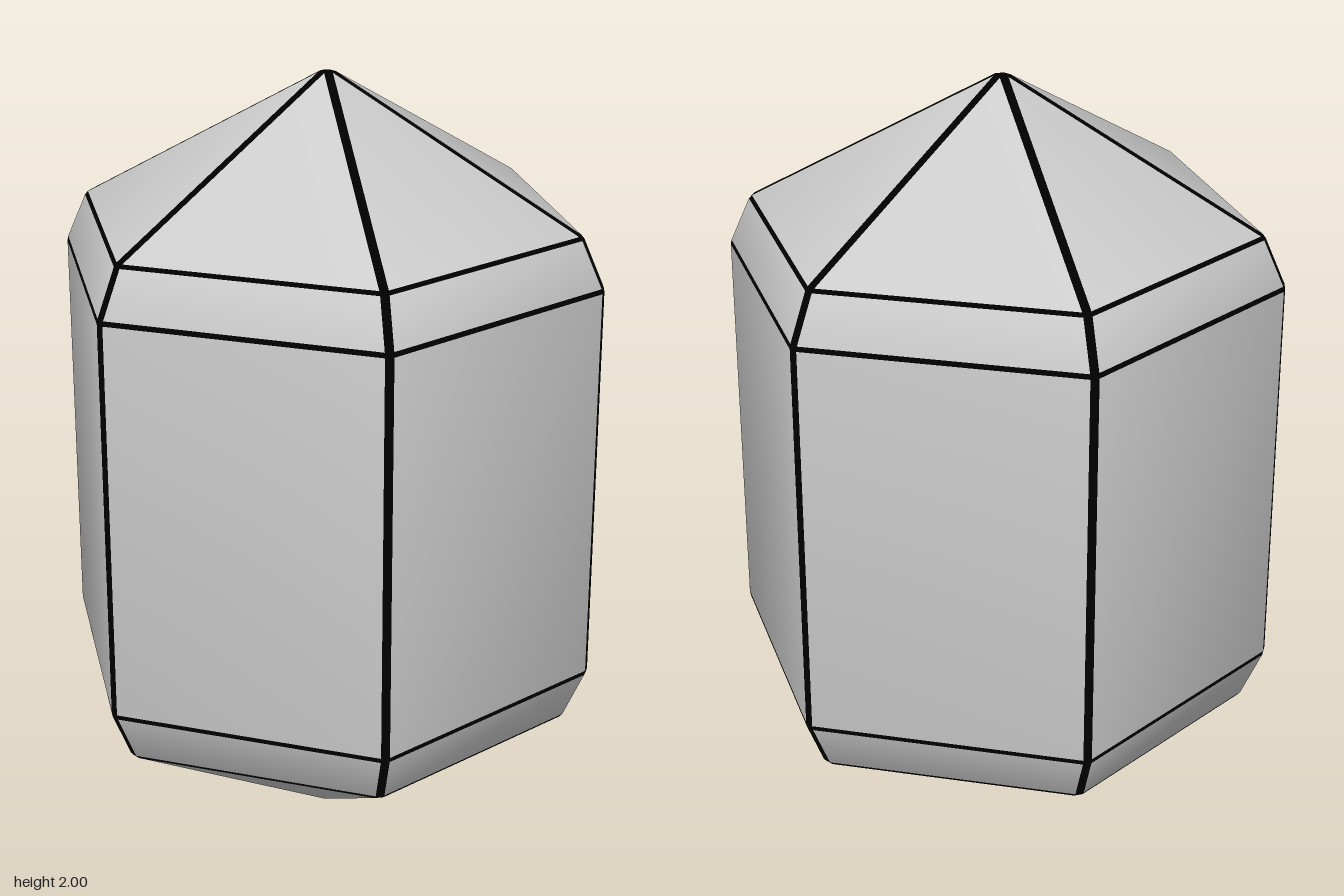
import * as THREE from 'three';

const SIDES = 6;
const EDGE = 0.0125;   // half cut of each upright corner, measured along the hexagon side
const BEVEL = 0.0065;  // half width of the level seams

// Sharp profile of the crystal (corner radius, height), bottom to top
const PROFILE = [[0.025, 0], [0.65, 0.36], [0.707, 0.493], [0.707, 1.518], [0.65, 1.645], [0.025, 2]]
  .map(([r, y]) => new THREE.Vector2(r, y));

// Split every inner profile point in two, so a narrow seam lies between the bands
function splitProfile() {
  const rows = [PROFILE[0]];
  for (let i = 1; i < PROFILE.length - 1; i++) {
    for (const j of [i - 1, i + 1]) {
      const dir = PROFILE[j].clone().sub(PROFILE[i]).normalize();
      rows.push(PROFILE[i].clone().addScaledVector(dir, BEVEL));
    }
  }
  rows.push(PROFILE[PROFILE.length - 1]);
  return rows;
}

// Hexagon ring with each corner cut into two points
function ring(r, y) {
  const corner = k => {
    const a = (k * Math.PI * 2) / SIDES;
    return new THREE.Vector3(Math.sin(a) * r, y, Math.cos(a) * r);
  };
  const points = [];
  for (let k = 0; k < SIDES; k++) {
    for (const n of [k - 1, k + 1]) {
      points.push(corner(k).lerp(corner(n), EDGE / r));
    }
  }
  return points;
}

export function createModel() {
  const rows = splitProfile();
  const count = SIDES * 2;
  const points = rows.flatMap(p => ring(p.x, p.y));
  const normals = points.map(() => new THREE.Vector3());
  const panels = [], seams = [];

  const addFace = (list, ids) => {
    const [a, b, c, d] = ids.map(i => points[i]);
    // the diagonals give the normal of the whole quad
    const n = c.clone().sub(a).cross(d.clone().sub(b)).normalize();
    ids.forEach(i => normals[i].add(n));
    list.push(ids[0], ids[1], ids[2], ids[0], ids[2], ids[3]);
  };

  // Even columns are corner seams, odd rows are level seams, the rest are panels
  for (let j = 0; j < rows.length - 1; j++) {
    for (let i = 0; i < count; i++) {
      const n = (i + 1) % count, low = j * count, high = low + count;
      const isSeam = i % 2 === 0 || j % 2 === 1;
      addFace(isSeam ? seams : panels, [low + i, low + n, high + n, high + i]);
    }
  }

  // Tiny flat tips
  const top = (rows.length - 1) * count;
  for (let i = 1; i < count - 1; i++) {
    seams.push(top, top + i, top + i + 1, 0, i + 1, i);
  }

  // Both meshes share one set of points and softened normals
  const position = new THREE.Float32BufferAttribute(points.flatMap(p => p.toArray()), 3);
  const normal = new THREE.Float32BufferAttribute(normals.flatMap(n => n.normalize().toArray()), 3);
  const group = new THREE.Group();
  group.name = 'crystal';
  for (const [name, index, color] of [['panels', panels, 0xcccccc], ['edgeSeams', seams, 0x000000]]) {
    const geometry = new THREE.BufferGeometry();
    geometry.setAttribute('position', position);
    geometry.setAttribute('normal', normal);
    geometry.setIndex(index);
    const mesh = new THREE.Mesh(geometry, new THREE.MeshStandardMaterial({ color }));
    mesh.name = name;
    group.add(mesh);
  }
  return group;
}
